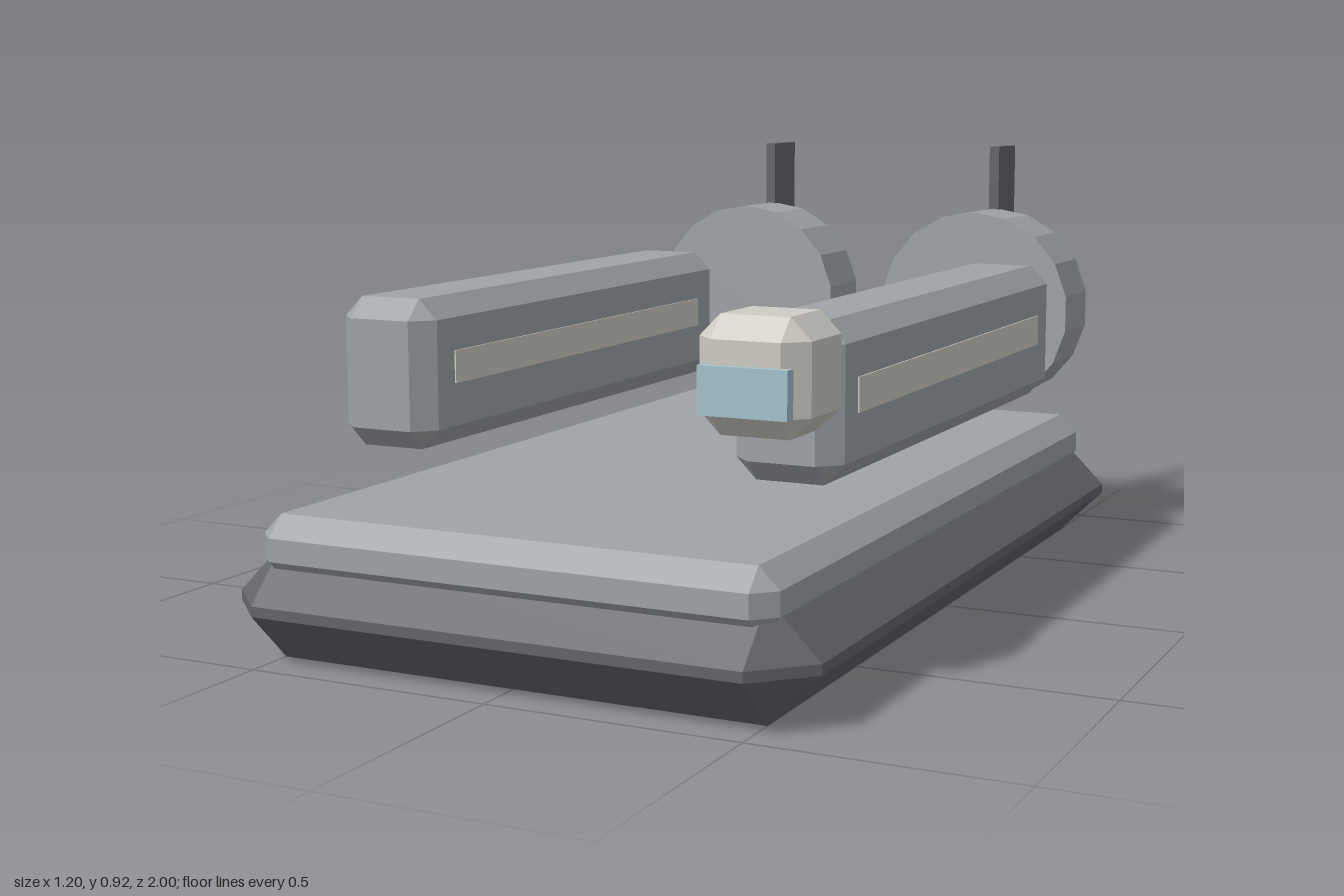
import * as THREE from 'three';
import { ConvexGeometry } from 'three/addons/geometries/ConvexGeometry.js';

const material = (name, color) => {
  const m = new THREE.MeshStandardMaterial({ color, flatShading: true });
  m.name = name;
  return m;
};

// Box with every edge cut at 45 degrees, given by its limits on each axis
function chamferedBox(min, max, bevel) {
  const points = [];
  for (let axis = 0; axis < 3; axis++) {
    for (let corner = 0; corner < 8; corner++) {
      const p = [0, 1, 2].map((k) => {
        const inset = k === axis ? 0 : bevel;
        return corner & (1 << k) ? max[k] - inset : min[k] + inset;
      });
      points.push(new THREE.Vector3(...p));
    }
  }
  return new ConvexGeometry(points);
}

// Plain box given by its limits on each axis
function plainBox(min, max) {
  const size = max.map((v, k) => v - min[k]);
  const mid = max.map((v, k) => (v + min[k]) / 2);
  return new THREE.BoxGeometry(...size).translate(...mid);
}

export function createModel() {
  const model = new THREE.Group();
  model.name = 'hoverSled';

  const lightGrey = material('light grey', 0xa0a4a8);
  const darkGrey = material('dark grey', 0x63656c);
  const offWhite = material('off white', 0xcfcdc5);
  const paleBlue = material('pale blue', 0xa5c3cd);

  const add = (name, geometry, mat) => {
    const mesh = new THREE.Mesh(geometry, mat);
    mesh.name = name;
    model.add(mesh);
    return mesh;
  };

  // Hull and deck
  add('hull', chamferedBox([-0.6, 0, -0.92], [0.6, 0.22, 1], 0.1), darkGrey);
  add('deck', chamferedBox([-0.53, 0.155, -0.872], [0.53, 0.28, 0.955], 0.04), lightGrey);

  for (const side of [1, -1]) {
    const label = side > 0 ? 'left' : 'right';
    const x = 0.425 * side;

    // Side pod with a pale stripe on both flanks
    add(label + 'Pod', chamferedBox([x - 0.106, 0.367, -0.6], [x + 0.106, 0.662, 0.68], 0.04), lightGrey);
    for (const flank of [1, -1]) {
      const s = x + 0.106 * flank;
      add(label + 'PodStripe', plainBox([s - 0.003, 0.492, -0.49], [s + 0.003, 0.557, 0.58]), offWhite);
    }

    // Rear engine drum and upright fin
    const drum = new THREE.CylinderGeometry(0.233, 0.233, 0.168, 18);
    drum.rotateX(Math.PI / 2).translate(0.298 * side, 0.535, -0.811);
    add(label + 'Engine', drum, lightGrey);
    const fx = 0.298 * side;
    add(label + 'Fin', plainBox([fx - 0.012, 0.538, -1], [fx + 0.012, 0.918, -0.875]), darkGrey);
  }

  // Cockpit on the nose of the left pod
  add('cockpit', chamferedBox([0.319, 0.472, 0.62], [0.531, 0.684, 0.83], 0.04), offWhite);
  add('cockpitWindow', plainBox([0.34, 0.513, 0.82], [0.51, 0.6, 0.845]), paleBlue);

  return model;
}
